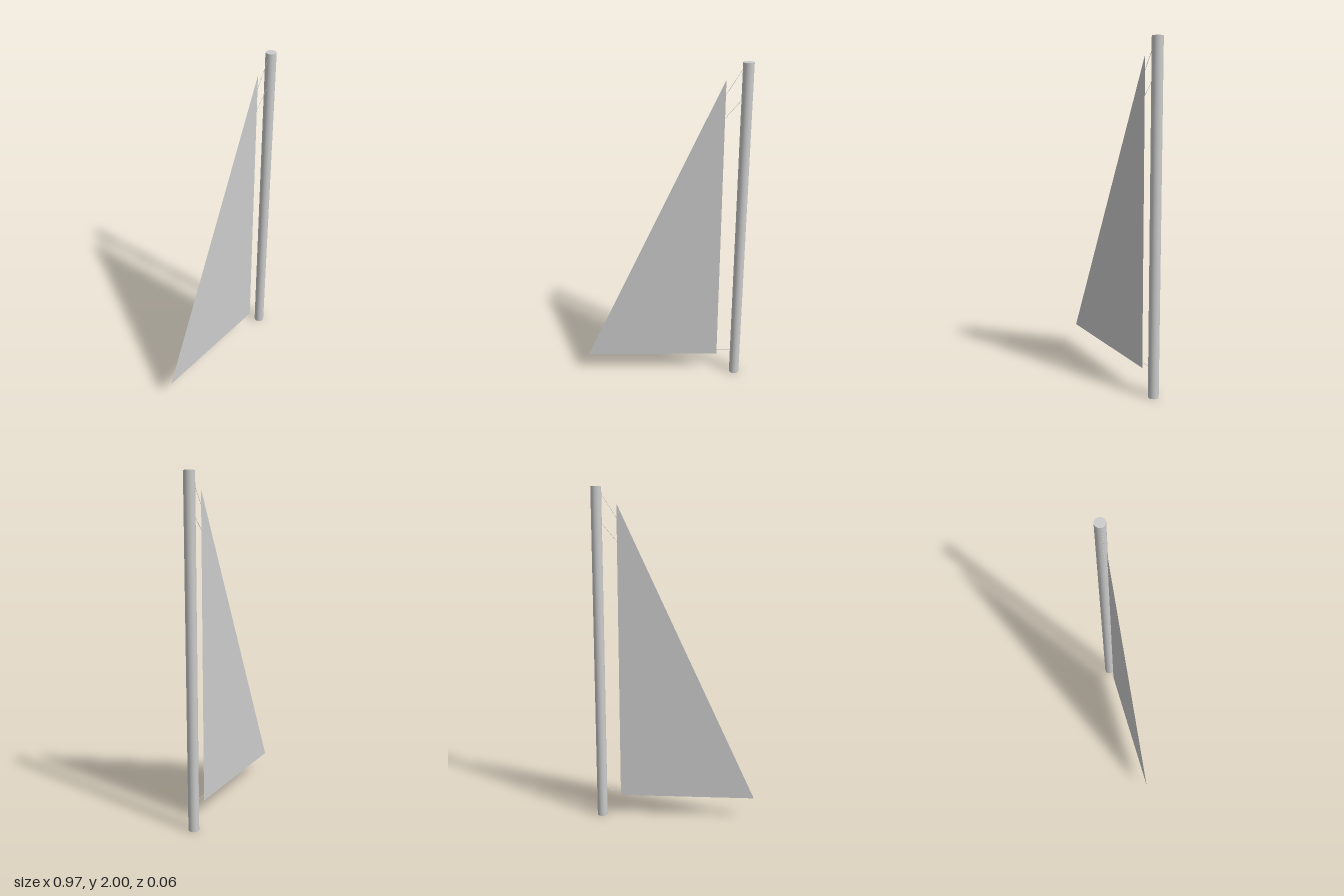
import * as THREE from 'three';

export function createModel() {
  const model = new THREE.Group();
  const grey = new THREE.MeshStandardMaterial({ color: 0xcccccc });
  const cloth = new THREE.MeshStandardMaterial({ color: 0xcccccc, side: THREE.DoubleSide });
  const add = (name, geometry, material = grey) => {
    const mesh = new THREE.Mesh(geometry, material);
    mesh.name = name;
    model.add(mesh);
    return mesh;
  };

  // Mast
  const mastX = 0.455;
  add('mast', new THREE.CylinderGeometry(0.031, 0.031, 2, 32)).position.set(mastX, 1, 0);

  // Flat triangular sail
  const luffX = 0.338;
  const outline = new THREE.Shape([
    new THREE.Vector2(-0.486, 0.13),
    new THREE.Vector2(luffX, 0.13),
    new THREE.Vector2(luffX, 1.905),
  ]);
  add('sail', new THREE.ShapeGeometry(outline), cloth);

  // Thin ropes tying the sail to the mast: [height at sail, height at mast]
  const ropes = { upperRope: [1.815, 1.965], middleRope: [1.685, 1.795], lowerRope: [0.165, 0.165] };
  for (const [name, [sailY, mastY]] of Object.entries(ropes)) {
    const path = new THREE.LineCurve3(
      new THREE.Vector3(luffX - 0.005, sailY, 0),
      new THREE.Vector3(mastX - 0.027, mastY, 0),
    );
    add(name, new THREE.TubeGeometry(path, 1, 0.001, 8));
  }

  return model;
}
